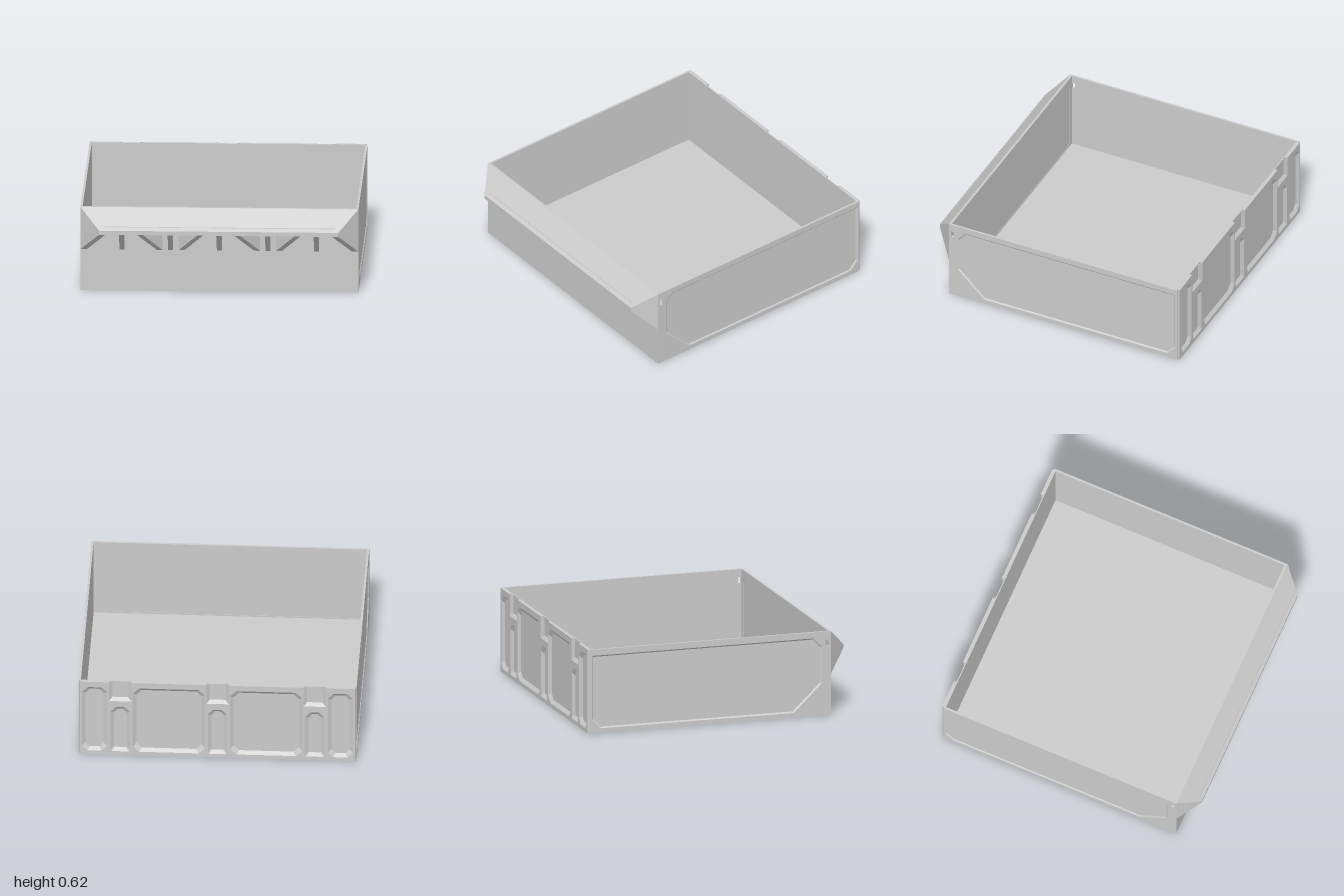
import * as THREE from 'three';

const H = 0.62, FRONT = 0.85, BACK = -0.99;
const mat = new THREE.MeshStandardMaterial({ color: 0xcccccc, flatShading: true, side: THREE.DoubleSide });

function add(parent, name, geometry) {
  const mesh = new THREE.Mesh(geometry, mat);
  mesh.name = name;
  parent.add(mesh);
  return mesh;
}

function box(parent, name, x0, x1, y0, y1, z0, z1) {
  const mesh = add(parent, name, new THREE.BoxGeometry(x1 - x0, y1 - y0, z1 - z0));
  mesh.position.set((x0 + x1) / 2, (y0 + y1) / 2, (z0 + z1) / 2);
}

const toPoints = (list) => list.map(([u, v]) => new THREE.Vector2(u, v));

// Flat sheet with holes, from depth z0 to z1
function sheet(outline, holes, z0, z1) {
  const shape = new THREE.Shape(toPoints(outline));
  for (const h of holes) shape.holes.push(new THREE.Path(toPoints(h)));
  return new THREE.ExtrudeGeometry(shape, { depth: z1 - z0, bevelEnabled: false }).translate(0, 0, z0);
}

// Strip of quads joining two matching rows of 3D points
function strip(a, b, closed) {
  const pos = [], n = a.length;
  for (let i = 0; i < (closed ? n : n - 1); i++) {
    const j = (i + 1) % n;
    pos.push(...a[i], ...a[j], ...b[j], ...a[i], ...b[j], ...b[i]);
  }
  const g = new THREE.BufferGeometry();
  g.setAttribute('position', new THREE.Float32BufferAttribute(pos, 3));
  g.computeVertexNormals();
  return g;
}

// Sloped rim of a pocket, from the surface at zTop down to the sheet at zBottom
function pocketRim(outline, inset, zTop, zBottom) {
  const us = outline.map((p) => p[0]), vs = outline.map((p) => p[1]);
  const shrink = (arr) => {
    const lo = Math.min(...arr), hi = Math.max(...arr), mid = (lo + hi) / 2;
    return (t) => mid + (t - mid) * (1 - 2 * inset / (hi - lo));
  };
  const su = shrink(us), sv = shrink(vs);
  return strip(outline.map(([u, v]) => [u, v, zTop]), outline.map(([u, v]) => [su(u), sv(v), zBottom]), true);
}

// Rectangle with cut corners, bottom cut and top cut given separately
const cutRect = (u0, u1, v0, v1, cb, ct) => [
  [u0 + cb, v0], [u1 - cb, v0], [u1, v0 + cb], [u1, v1 - ct],
  [u1 - ct, v1], [u0 + ct, v1], [u0, v1 - ct], [u0, v0 + cb]];

// Side wall with one large shallow panel and a small slot near the front
function sideWall(s) {
  const g = new THREE.Group();
  g.name = s > 0 ? 'leftWall' : 'rightWall';
  const flip = (list) => list.map(([z, y]) => [-s * z, y]);
  const outline = flip([[-0.975, 0], [FRONT, 0], [FRONT, H], [-0.975, H]]);
  const slot = flip([[0.807, 0.515], [0.832, 0.515], [0.832, 0.56], [0.807, 0.56]]);
  const panel = flip([[0.78, 0.24], [0.78, 0.51], [0.72, 0.575], [-0.96, 0.575],
    [-0.96, 0.10], [-0.90, 0.035], [0.57, 0.035]]);
  add(g, 'wallCore', sheet(outline, [slot], 0.984, 0.992));
  add(g, 'wallFrame', sheet(outline, [slot, panel], 0.992, 1));
  add(g, 'panelRim', pocketRim(panel, 0.01, 1, 0.992));
  g.rotation.y = s * Math.PI / 2;
  return g;
}

// Back wall with a row of bevelled pockets and three notches in the rim
function backWall() {
  const g = new THREE.Group();
  g.name = 'backWall';
  const zIn = -BACK - 0.02, zOut = -BACK, pockets = [];
  for (const s of [-1, 1]) {
    pockets.push(cutRect(s * 0.885 - 0.09, s * 0.885 + 0.09, 0.03, 0.575, 0.04, 0.04));
    pockets.push(cutRect(s * 0.35 - 0.26, s * 0.35 + 0.26, 0.03, 0.575, 0.045, 0.045));
  }
  const outline = [[-0.988, 0], [0.988, 0], [0.988, H]];
  const notches = [];
  for (const c of [0.7, 0, -0.7]) {
    pockets.push(cutRect(c - 0.07, c + 0.07, 0.03, 0.41, 0.01, 0.04));
    const notch = [[c + 0.082, H], [c + 0.082, 0.46], [c - 0.082, 0.46], [c - 0.082, H]];
    outline.push(...notch);
    notches.push([notch, [[c + 0.055, H], [c + 0.055, 0.485], [c - 0.055, 0.485], [c - 0.055, H]]]);
  }
  outline.push([-0.988, H]);
  add(g, 'backCore', sheet([[-1, 0], [1, 0], [1, H], [-1, H]], [], 0.963, zIn));
  add(g, 'backFrame', sheet(outline, pockets, zIn, zOut));
  pockets.forEach((p) => add(g, 'pocketRim', pocketRim(p, 0.025, zOut, zIn)));
  for (const [a, b] of notches) {
    add(g, 'notchRim', strip(a.map((p) => [...p, zOut]), b.map((p) => [...p, zIn]), false));
  }
  // Bevelled vertical corners
  for (const s of [-1, 1]) {
    add(g, 'cornerBevel', strip([[s, 0, zIn], [s, H, zIn]], [[s * 0.988, 0, zOut], [s * 0.988, H, zOut]], false));
  }
  g.rotation.y = Math.PI;
  return g;
}

// Upright fin under the lip, from x0 to x1 at the wall, slanting sideways by k
function fin(parent, name, profile, x0, x1, k) {
  const geo = sheet(profile.map(([z, y]) => [-z, y]), [], x0, x1).rotateY(Math.PI / 2);
  const p = geo.attributes.position;
  for (let i = 0; i < p.count; i++) p.setX(i, p.getX(i) + k * (p.getZ(i) - FRONT));
  geo.computeVertexNormals();
  add(parent, name, geo);
}

// Sloping front lip with mitred ends, carried on fins
function frontLip() {
  const g = new THREE.Group();
  g.name = 'frontLip';
  const section = [[FRONT, H], [0.965, 0.505], [0.966, 0.5], [0.99, 0.48], [0.99, 0.45], [0.96, 0.45], [FRONT, 0.56]];
  const end = (s) => section.map(([z, y]) => [s * (1 - (z - FRONT)), y, z]);
  add(g, 'lipPlate', strip(end(-1), end(1), true));

  const full = [[FRONT, 0.305], [0.99, 0.45], [0.99, 0.48], [FRONT, H]];
  const under = [[FRONT, 0.305], [0.987, 0.45], [0.98, 0.465], [FRONT, 0.59]];
  fin(g, 'lipEnd', full, 0.955, 1, -1);
  fin(g, 'lipEnd', full, -1, -0.955, 1);
  for (const c of [-0.7, -0.35, 0, 0.35, 0.7]) fin(g, 'straightFin', under, c - 0.018, c + 0.018, 0);
  for (const c of [-0.35, 0.35]) {
    fin(g, 'slantedFin', under, c - 0.1, c - 0.058, -1);
    fin(g, 'slantedFin', under, c + 0.058, c + 0.1, 1);
  }
  return g;
}

export function createModel() {
  const model = new THREE.Group();
  model.name = 'storageBin';
  box(model, 'floor', -0.99, 0.99, 0, 0.015, -0.97, 0.84);
  box(model, 'frontWall', -0.99, 0.99, 0, H, 0.836, FRONT);
  // Shallow raised border inside the front wall
  add(model, 'frontInnerBorder', sheet([[-0.985, 0.01], [0.985, 0.01], [0.985, H], [-0.985, H]],
    [cutRect(-0.95, 0.95, 0.025, 0.575, 0.03, 0.04)], 0.833, 0.837));
  model.add(sideWall(1), sideWall(-1), backWall(), frontLip());
  return model;
}
